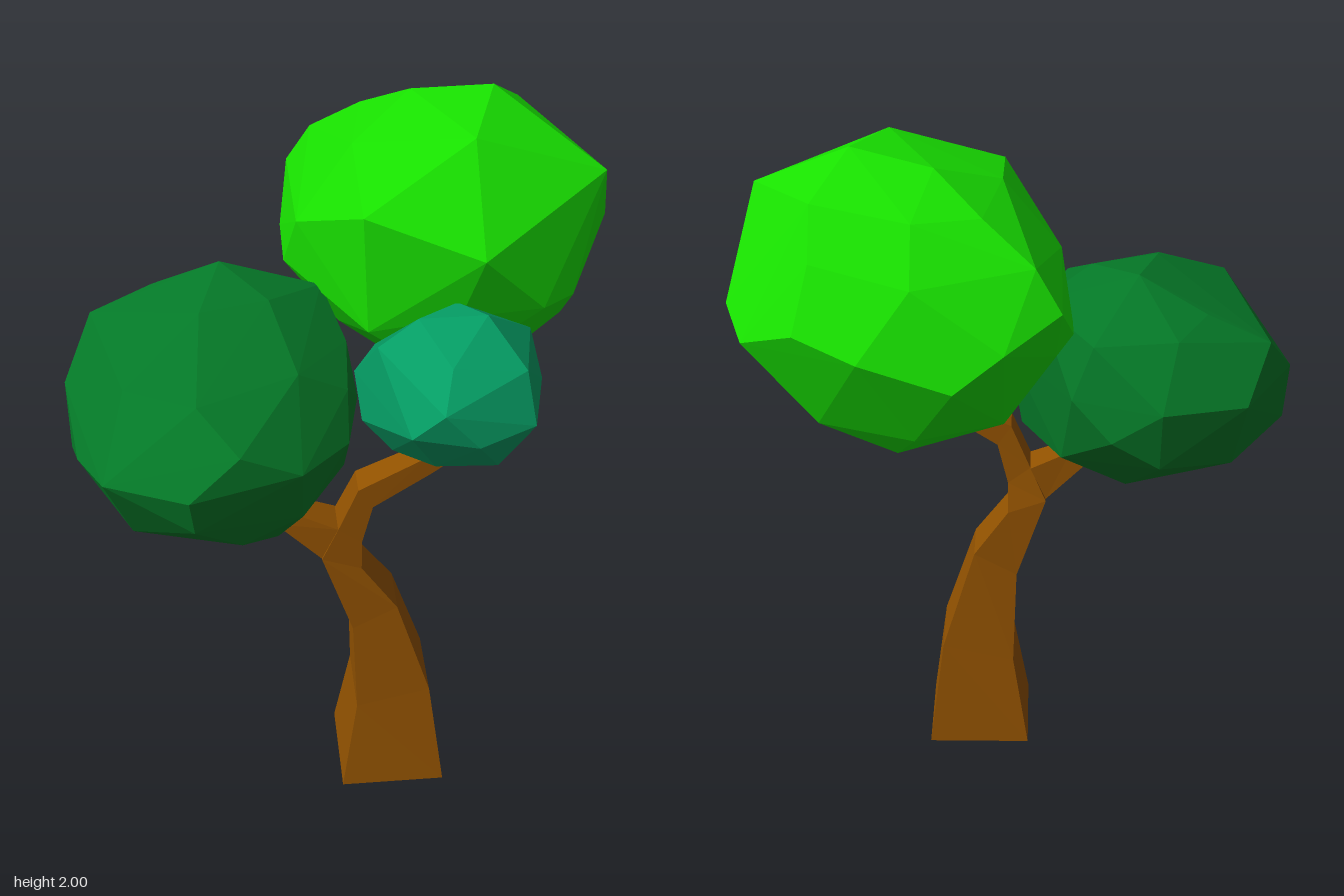
import * as THREE from 'three';
import { ConvexGeometry } from 'three/addons/geometries/ConvexGeometry.js';

const mat = (color) => new THREE.MeshStandardMaterial({ color, flatShading: true });

// Four-sided limb through sections [leftX, leftY, rightX, rightY, backZ, frontZ]
function limb(sections) {
  const rings = sections.map(([lx, ly, rx, ry, z0, z1]) =>
    [[lx, ly, z0], [rx, ry, z0], [rx, ry, z1], [lx, ly, z1]]);
  const pos = [];
  const quad = (a, b, c, d) => [a, b, c, a, c, d].forEach((p) => pos.push(...p));
  for (let s = 0; s < rings.length - 1; s++) {
    for (let i = 0; i < 4; i++) {
      const j = (i + 1) % 4;
      quad(rings[s][i], rings[s + 1][i], rings[s + 1][j], rings[s][j]);
    }
  }
  quad(...rings[0]);
  quad(...rings[rings.length - 1].slice().reverse());
  const g = new THREE.BufferGeometry();
  g.setAttribute('position', new THREE.Float32BufferAttribute(pos, 3));
  g.computeVertexNormals();
  return g;
}

// Tapered square twig between two points
function twig(from, to, r0, r1) {
  const a = new THREE.Vector3(...from), b = new THREE.Vector3(...to);
  const dir = b.clone().sub(a);
  const g = new THREE.CylinderGeometry(r1, r0, dir.length(), 4);
  g.applyQuaternion(new THREE.Quaternion().setFromUnitVectors(new THREE.Vector3(0, 1, 0), dir.normalize()));
  const mid = a.add(b).multiplyScalar(0.5);
  return g.translate(mid.x, mid.y, mid.z);
}

// Faceted leaf clump wrapped around a few points
const clump = (points) => new ConvexGeometry(points.map((p) => new THREE.Vector3(...p)));

export function createModel() {
  const tree = new THREE.Group();
  tree.name = 'tree';
  const add = (name, geometry, material) => {
    const m = new THREE.Mesh(geometry, material);
    m.name = name;
    tree.add(m);
  };
  const bark = mat(0x925200);

  // Trunk bending into the main branch
  add('trunk', limb([
    [-0.03, 0, 0.268, 0, 0.045, 0.34],
    [0.015, 0.28, 0.225, 0.33, 0.08, 0.295],
    [0.005, 0.56, 0.13, 0.63, 0.12, 0.265],
    [-0.08, 0.81, 0.03, 0.77, 0.125, 0.25],
    [-0.035, 0.91, 0.03, 0.86, 0.145, 0.247],
    [0.02, 1.04, 0.06, 0.98, 0.155, 0.243],
    [0.2, 1.13, 0.22, 1.08, 0.165, 0.235],
    [0.285, 1.22, 0.305, 1.14, 0.17, 0.23],
  ]), bark);

  // Side branches
  add('rightBranch', limb([
    [-0.08, 0.81, -0.035, 0.91, 0.14, 0.245],
    [-0.205, 0.93, -0.15, 0.96, 0.15, 0.23],
    [-0.3, 1.02, -0.26, 1.06, 0.16, 0.22],
  ]), bark);
  add('backBranchLower', twig([0.2, 1.11, 0.21], [0.25, 1.14, 0.06], 0.045, 0.038), bark);
  add('backBranchUpper', twig([0.25, 1.13, 0.08], [0.3, 1.23, -0.12], 0.04, 0.03), bark);

  // Leaf clumps
  add('topLeaves', clump([
    [0.41, 2, -0.2], [0.2, 1.967, -0.26], [0.33, 1.97, 0.035], [0.035, 1.89, -0.12], [0.035, 1.84, 0.18],
    [0.33, 1.75, 0.265], [0.68, 1.84, -0.01], [0.74, 1.59, -0.22], [0.59, 1.55, 0.115],
    [0.5, 1.56, 0.19], [0.28, 1.56, 0.215], [0.05, 1.5, 0.17], [-0.115, 1.69, -0.08], [-0.145, 1.52, -0.17],
    [-0.145, 1.55, -0.31], [-0.115, 1.67, -0.46], [-0.1, 1.53, -0.4], [-0.05, 1.78, -0.44],
    [0.025, 1.6, -0.55], [0.15, 1.51, -0.58], [0.38, 1.58, -0.565], [0.54, 1.62, -0.49],
    [0.5, 1.78, -0.42], [0.685, 1.55, -0.375], [0.25, 1.75, -0.51], [0.25, 1.88, -0.41],
    [0.5, 1.9, -0.33], [0.08, 1.88, -0.37], [0.61, 1.355, -0.1], [0.475, 1.195, -0.14],
    [0.3, 1.195, -0.26], [0.2, 1.2, -0.1], [0.36, 1.265, 0.02], [0.25, 1.33, 0.13], [0.3, 1.25, -0.39],
    [0.25, 1.33, -0.475], [0.5, 1.33, -0.38], [0, 1.35, -0.12], [0.03, 1.32, -0.36],
  ]), mat(0x18e200));

  add('sideLeaves', clump([
    [-0.32, 1.6, -0.05], [-0.2, 1.568, 0.1], [-0.67, 1.43, -0.1], [-0.745, 1.3, 0.035], [-0.74, 1.12, 0.08],
    [-0.605, 1.3, -0.225], [-0.38, 1.3, -0.28], [-0.38, 1.12, -0.235], [-0.145, 1.3, -0.19],
    [-0.055, 1.52, -0.04], [0, 1.43, 0.1], [0.025, 1.285, 0.15], [-0.01, 1.06, 0.15],
    [-0.2, 0.93, 0.28], [-0.38, 0.915, 0.1], [-0.595, 0.98, 0.15], [-0.71, 1.25, 0.31],
    [-0.64, 1.31, 0.505], [-0.43, 1.295, 0.578], [-0.42, 1.18, 0.55], [-0.145, 1.3, 0.495],
    [-0.015, 1.28, 0.345], [-0.3, 1.015, 0.41], [-0.58, 1.06, 0.38], [-0.14, 1.1, 0.41],
    [-0.3, 0.97, -0.05], [-0.58, 1.09, -0.14], [-0.12, 1.08, -0.1], [-0.38, 1.575, 0.155],
    [-0.14, 1.47, 0.3], [-0.4, 1.47, 0.42], [-0.58, 1.465, 0.32], [-0.5, 1.51, -0.1], [-0.3, 1.39, 0.53],
    [-0.42, 1.47, -0.19], [-0.2, 1.45, -0.18], [-0.25, 1.2, -0.245], [-0.01, 1.38, 0.25],
  ]), mat(0x057a28));

  add('frontLeaves', clump([
    [0.01, 1.41, 0.21], [0.025, 1.295, 0.27], [0.105, 1.2, 0.28], [0.325, 1.18, 0.29],
    [0.43, 1.23, 0.3], [0.49, 1.4, 0.27], [0.465, 1.51, 0.2], [0.335, 1.62, 0.3],
    [0.165, 1.6, 0.27], [0.06, 1.54, 0.3], [0.2, 1.49, 0.542], [0.29, 1.385, 0.535],
    [0.125, 1.4, 0.505], [0.44, 1.4, 0.475], [0.42, 1.53, 0.42], [0.2, 1.24, 0.41],
    [0.36, 1.24, 0.42], [0.23, 1.56, 0.44], [0.35, 1.34, 0.13], [0.15, 1.34, 0.14],
    [0.25, 1.5, 0.15], [0.28, 1.2, 0.185], [0.07, 1.45, 0.15], [0.44, 1.43, 0.16], [0.27, 1.61, 0.22],
  ]), mat(0x059d64));

  return tree;
}
